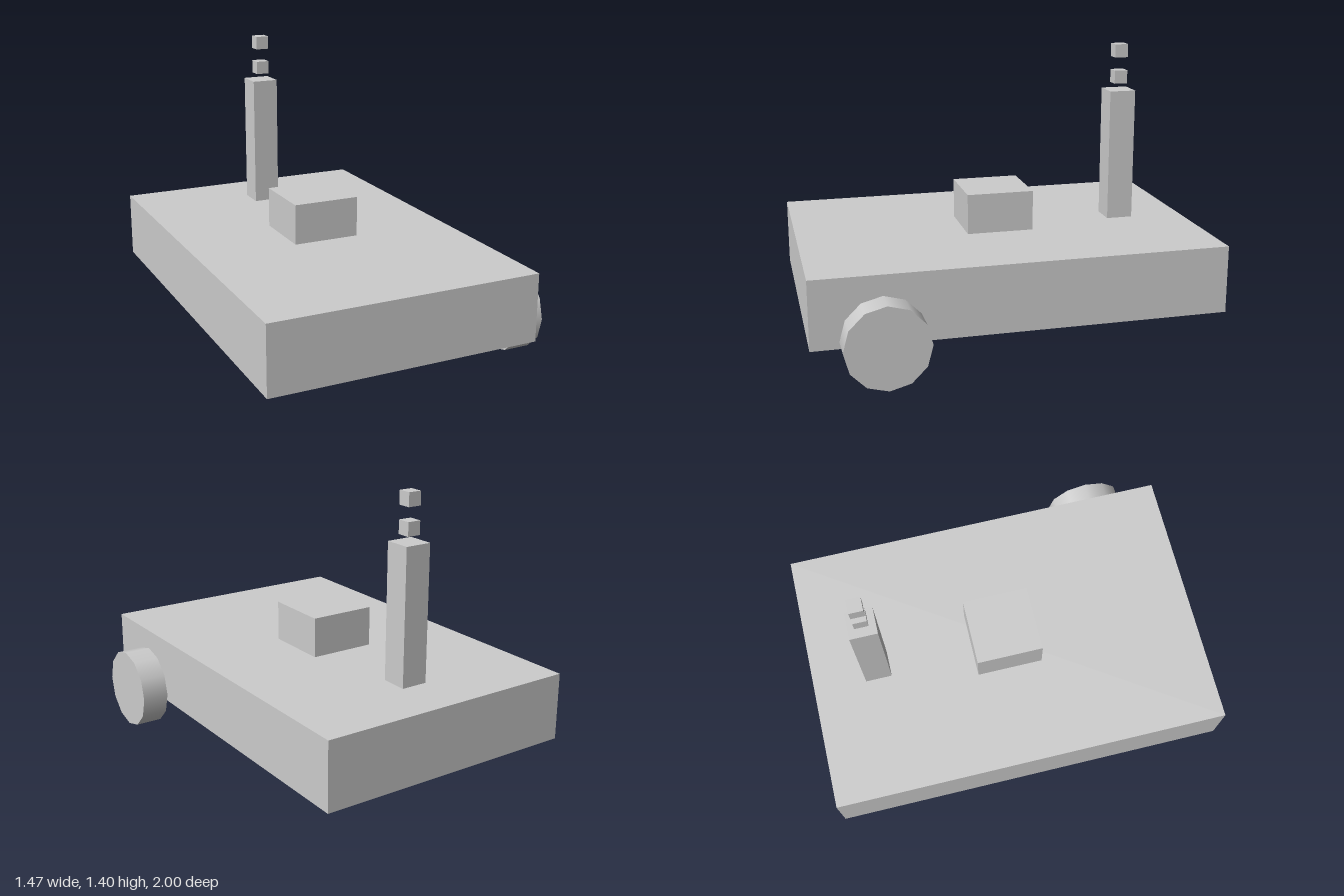
import * as THREE from 'three';

export function createModel() {
  const model = new THREE.Group();
  const grey = new THREE.MeshStandardMaterial({ color: 0xcccccc });
  grey.name = 'light grey';

  const add = (name, geometry, x, y, z) => {
    const mesh = new THREE.Mesh(geometry, grey);
    mesh.name = name;
    mesh.position.set(x, y, z);
    model.add(mesh);
    return mesh;
  };
  const box = (name, w, h, d, x, bottom, z) =>
    add(name, new THREE.BoxGeometry(w, h, d), x, bottom + h / 2, z);

  const u = 1 / 15; // base unit of the block proportions
  const midX = -u;  // centre line of the body

  // Flat chassis with a raised block in the middle
  box('chassis', 20 * u, 5 * u, 2, midX, 2.5 * u, 0);
  box('cabinBlock', 5 * u, 3 * u, 5 * u, midX, 0.5, 0);

  // Chimney at the back with two floating puffs of smoke
  box('chimney', 2 * u, 10 * u, 2 * u, midX, 0.5, -10 * u);
  for (const bottom of [18 * u, 20 * u]) box('smokePuff', u, u, u, midX, bottom, -10 * u);

  // Single twelve-sided wheel on the left front
  const wheel = new THREE.CylinderGeometry(3 * u, 3 * u, 2 * u, 12);
  wheel.rotateZ(Math.PI / 2);
  add('wheel', wheel, 10 * u, 3 * u, 10 * u);

  return model;
}
